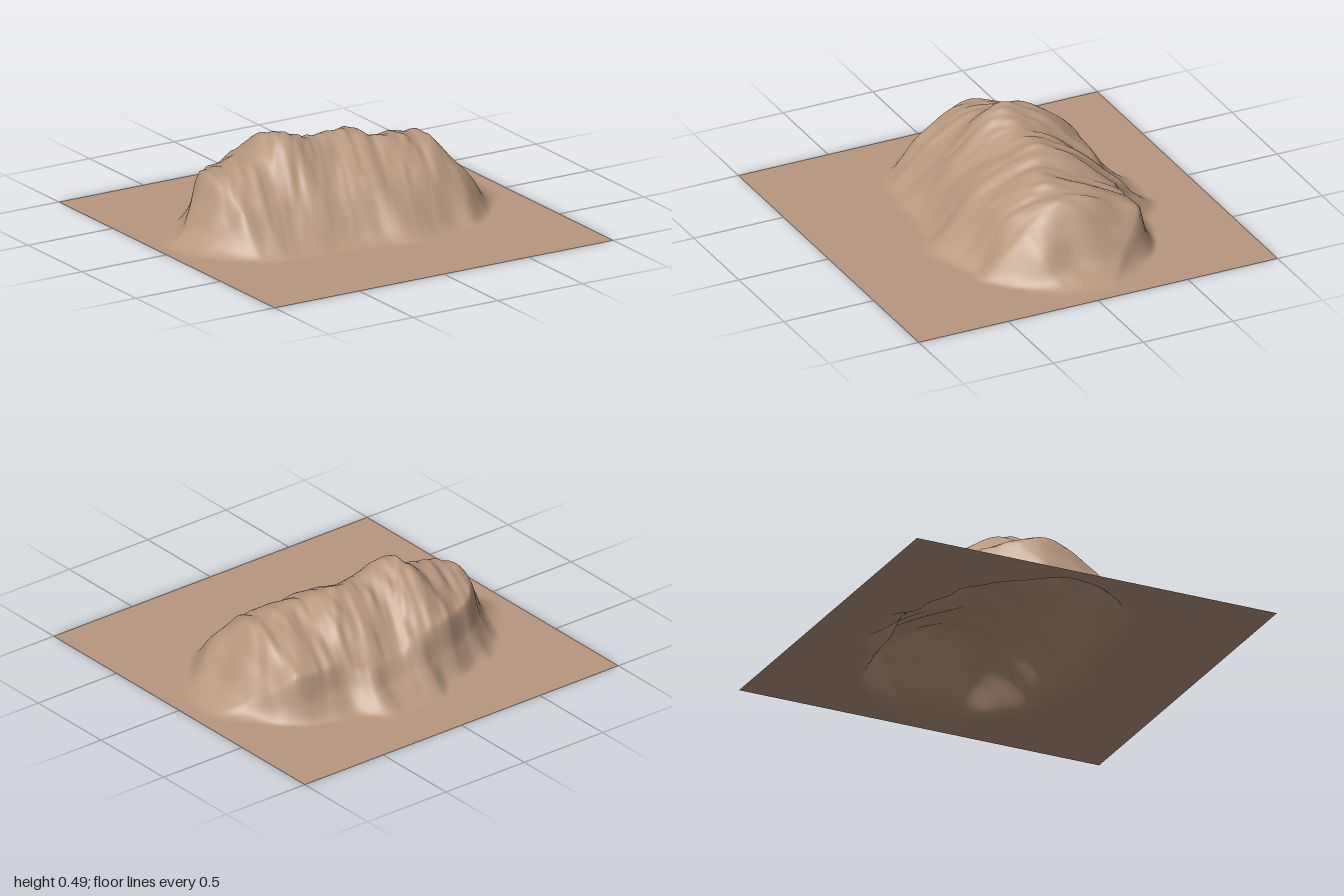
import * as THREE from 'three';

// Cross-sections of the hill, one per x:
// x, front foot z, front shoulder (z, y), ridge (z, y), back rim (z, y), back foot z
const sections = [
  [-0.96, 0.12, 0.04, 0.00, -0.04, 0.00, -0.12, 0.00, -0.22],
  [-0.80, 0.24, 0.08, 0.06, -0.03, 0.08, -0.16, 0.06, -0.34],
  [-0.72, 0.30, 0.12, 0.13, -0.06, 0.19, -0.20, 0.18, -0.42],
  [-0.65, 0.35, 0.14, 0.20, -0.08, 0.32, -0.27, 0.27, -0.47],
  [-0.45, 0.42, 0.16, 0.23, -0.10, 0.36, -0.44, 0.27, -0.58],
  [-0.26, 0.44, 0.16, 0.25, -0.13, 0.47, -0.50, 0.27, -0.65],
  [0.00, 0.48, 0.18, 0.26, -0.11, 0.42, -0.49, 0.20, -0.74],
  [0.15, 0.53, 0.20, 0.28, -0.10, 0.43, -0.51, 0.18, -0.75],
  [0.35, 0.49, 0.20, 0.28, -0.03, 0.38, -0.43, 0.23, -0.63],
  [0.56, 0.42, 0.19, 0.25, -0.06, 0.345, -0.42, 0.23, -0.54],
  [0.67, 0.35, 0.16, 0.17, -0.06, 0.23, -0.34, 0.15, -0.46],
  [0.78, 0.25, 0.12, 0.05, -0.03, 0.07, -0.22, 0.05, -0.34],
  [0.93, 0.14, 0.05, 0.00, -0.04, 0.00, -0.12, 0.00, -0.22],
];

// Smooth curve through points without overshoot (xs ascending)
function monotone(xs, ys) {
  const n = xs.length;
  const d = xs.slice(1).map((x, i) => (ys[i + 1] - ys[i]) / (x - xs[i]));
  const m = xs.map((_, i) => {
    if (i === 0 || i === n - 1 || d[i - 1] * d[i] <= 0) return 0;
    return 2 * d[i - 1] * d[i] / (d[i - 1] + d[i]);
  });
  return (x) => {
    if (x <= xs[0]) return ys[0];
    if (x >= xs[n - 1]) return ys[n - 1];
    let i = 0;
    while (x > xs[i + 1]) i++;
    const w = xs[i + 1] - xs[i], t = (x - xs[i]) / w, t2 = t * t, t3 = t2 * t;
    return (2 * t3 - 3 * t2 + 1) * ys[i] + (t3 - 2 * t2 + t) * w * m[i]
      + (3 * t2 - 2 * t3) * ys[i + 1] + (t3 - t2) * w * m[i + 1];
  };
}

// Seeded smooth noise in -1..1
function hash(i, j) {
  const s = Math.sin(i * 127.1 + j * 311.7 + 17.3) * 43758.5453;
  return (s - Math.floor(s)) * 2 - 1;
}
function noise(x, y) {
  const i = Math.floor(x), j = Math.floor(y);
  const s = THREE.MathUtils.smoothstep(x - i, 0, 1), t = THREE.MathUtils.smoothstep(y - j, 0, 1);
  const { lerp } = THREE.MathUtils;
  return lerp(lerp(hash(i, j), hash(i + 1, j), s), lerp(hash(i, j + 1), hash(i + 1, j + 1), s), t);
}

const columns = sections[0].slice(1).map((_, k) =>
  monotone(sections.map((s) => s[0]), sections.map((s) => s[k + 1])));

// Height across z at one x, with a steep drop below the back rim
function profileAt(x) {
  const [front, sz, sy, rz, ry, bz, by, back] = columns.map((c) => c(x));
  const ledge = bz + (back - bz) * 0.33;
  return monotone([back, ledge, bz, rz, sz, front], [0, by * 0.46, by, ry, sy, 0]);
}

export function createModel() {
  const group = new THREE.Group();
  group.name = 'hillTerrain';

  const segments = 180;
  const geometry = new THREE.PlaneGeometry(2, 2, segments, segments);
  geometry.rotateX(-Math.PI / 2);
  const p = geometry.attributes.position;
  for (let i = 0; i < p.count; i++) {
    const x = p.getX(i), z = p.getZ(i);
    // gullies run down the slope, slightly slanted, and wander at the rim
    const wx = x + 0.02 * noise(x * 7, z * 7 + 4);
    const wz = z + 0.025 * noise(x * 9 + 5, z * 5);
    const base = profileAt(wx)(wz);
    const gully = noise((x + 0.3 * z) * 13, z * 4) * 0.05 + noise((x + 0.3 * z) * 27, z * 9) * 0.025;
    p.setY(i, base * (1 + gully));
  }
  geometry.computeVertexNormals();

  const hill = new THREE.Mesh(geometry, new THREE.MeshStandardMaterial({
    color: 0xb89880, side: THREE.DoubleSide,
  }));
  hill.name = 'hillAndGround';
  group.add(hill);
  return group;
}
